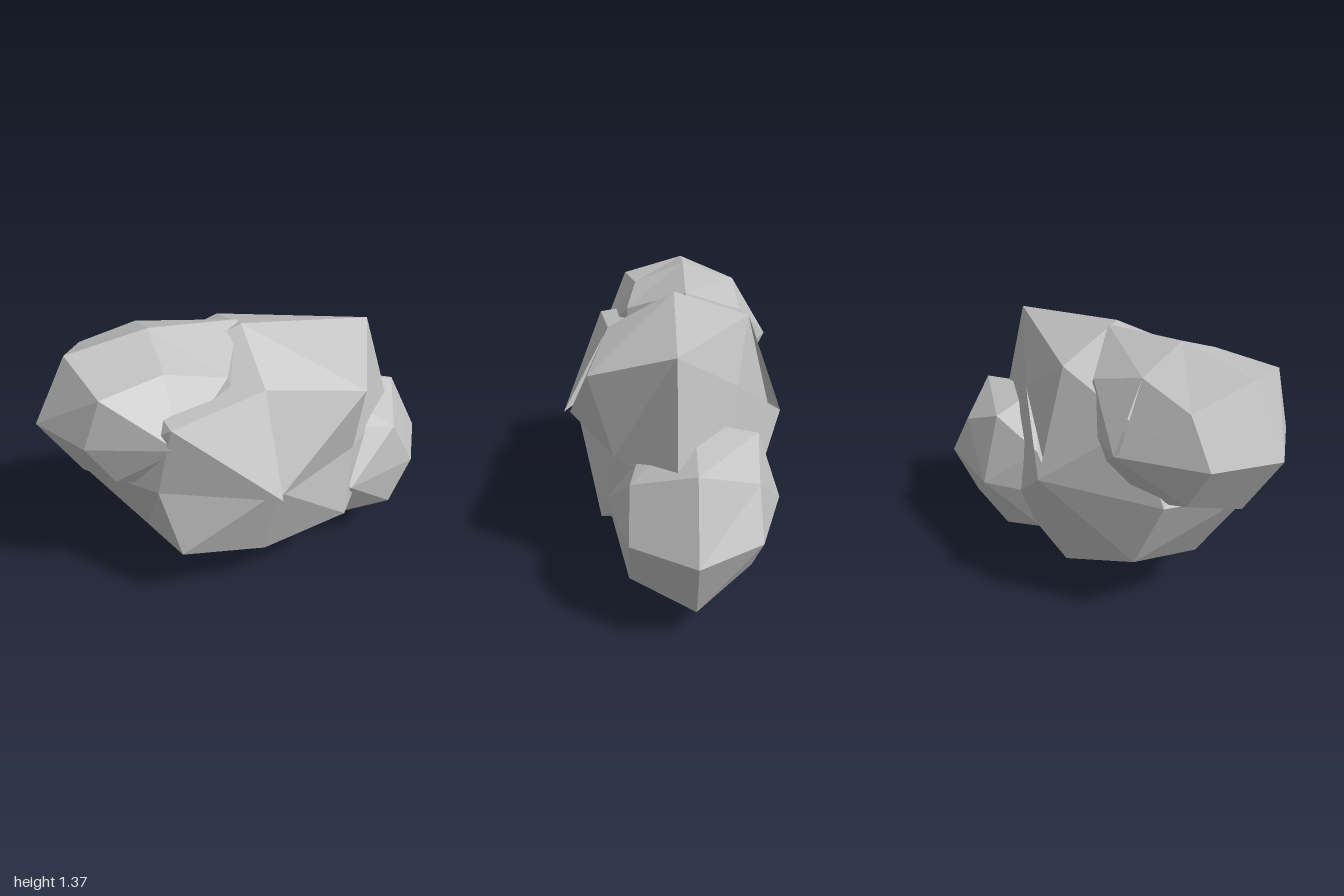
import * as THREE from 'three';

const stone = new THREE.MeshStandardMaterial({ color: 0xc0c0c0, flatShading: true, side: THREE.DoubleSide });
stone.name = 'light grey stone';

// A faceted lump: three rings of eight corners around the z axis, pushed in or
// out by a factor each (starting at +x, going counter-clockwise seen from the front).
// The pole heights are given per facet, so neighbouring facets may break apart slightly.
function lump(name, { centre, depth, front, middle, back, frontPole, backPole }) {
  const ring = (factors, lat) => factors.map((f, i) => {
    const a = (i * Math.PI) / 4;
    const r = f * Math.cos(lat);
    return [1.2 * r * Math.cos(a), r * Math.sin(a), depth * f * Math.sin(lat)];
  });
  const F = ring(front, Math.PI / 4);
  const M = ring(middle, 0);
  const B = ring(back, -Math.PI / 4);
  const pos = [];
  const tri = (...corners) => corners.forEach((c) => pos.push(...c));
  for (let i = 0; i < 8; i++) {
    const j = (i + 1) % 8;
    tri([0, 0, frontPole[i]], F[i], F[j]);
    tri(F[i], M[i], M[j]);
    tri(F[i], M[j], F[j]);
    tri(M[i], B[i], B[j]);
    tri(M[i], B[j], M[j]);
    tri([0, 0, -backPole[i]], B[j], B[i]);
  }
  const geo = new THREE.BufferGeometry();
  geo.setAttribute('position', new THREE.Float32BufferAttribute(pos, 3));
  geo.computeVertexNormals();
  const mesh = new THREE.Mesh(geo, stone);
  mesh.name = name;
  mesh.position.set(...centre);
  return mesh;
}

export function createModel() {
  const rock = new THREE.Group();
  rock.name = 'rock';

  // Large central boulder
  rock.add(lump('mainBoulder', {
    centre: [-0.035, 0.72, -0.01],
    depth: 0.71,
    front: [0.56, 0.77, 0.63, 0.75, 0.6, 0.71, 0.66, 0.7],
    middle: [0.68, 0.76, 0.62, 0.6, 0.65, 0.6, 0.72, 0.51],
    back: [0.52, 0.56, 0.71, 0.7, 0.68, 0.7, 0.74, 0.68],
    frontPole: [0.52, 0.52, 0.55, 0.55, 0.48, 0.48, 0.48, 0.48],
    backPole: [0.535, 0.48, 0.535, 0.535, 0.535, 0.535, 0.535, 0.535],
  }));

  // Smaller boulder high on one side
  rock.add(lump('upperBoulder', {
    centre: [-0.455, 0.98, -0.065],
    depth: 0.87,
    front: [0.42, 0.46, 0.4, 0.5, 0.45, 0.43, 0.42, 0.42],
    middle: [0.455, 0.5, 0.385, 0.45, 0.455, 0.43, 0.42, 0.42],
    back: [0.42, 0.44, 0.42, 0.45, 0.45, 0.43, 0.42, 0.42],
    frontPole: Array(8).fill(0.43),
    backPole: [0.435, 0.435, 0.4, 0.435, 0.435, 0.435, 0.435, 0.435],
  }));

  // Smaller boulder low on the other side
  rock.add(lump('lowerBoulder', {
    centre: [0.43, 0.495, -0.09],
    depth: 0.87,
    front: [0.47, 0.46, 0.38, 0.38, 0.36, 0.47, 0.4, 0.48],
    middle: [0.475, 0.475, 0.39, 0.4, 0.4, 0.37, 0.395, 0.48],
    back: [0.46, 0.44, 0.47, 0.43, 0.42, 0.43, 0.43, 0.41],
    frontPole: Array(8).fill(0.4),
    backPole: Array(8).fill(0.4),
  }));

  return rock;
}
